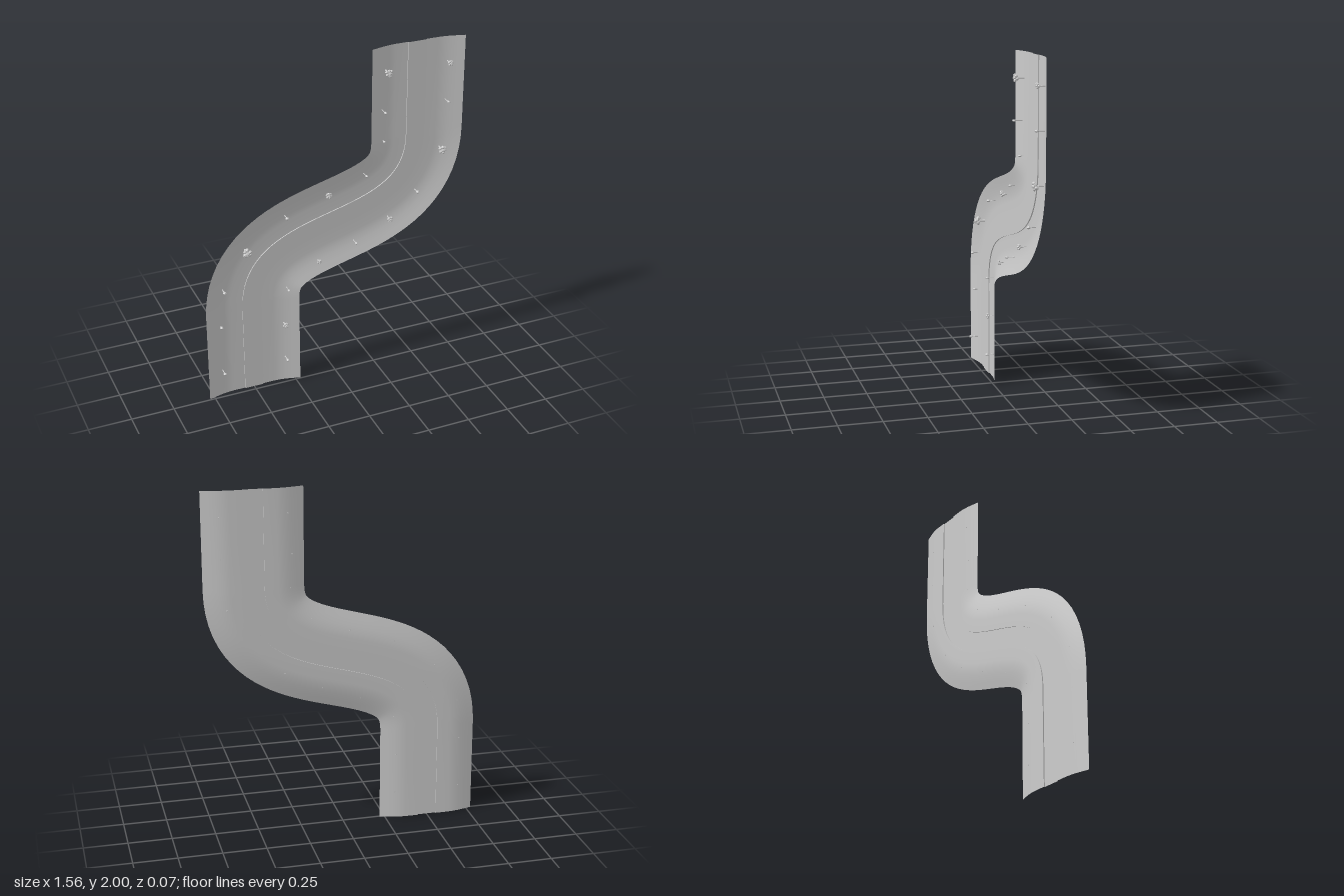
import * as THREE from 'three';

const grey = new THREE.MeshStandardMaterial({ color: 0xcccccc, side: THREE.DoubleSide });
const rock = new THREE.MeshStandardMaterial({ color: 0xcccccc, flatShading: true });

// Centre line: straight, S-bend, straight
const bend = new THREE.CubicBezierCurve(
  new THREE.Vector2(-0.5, 0.55), new THREE.Vector2(-0.5, 1.18),
  new THREE.Vector2(0.5, 0.82), new THREE.Vector2(0.5, 1.45));
const stations = [{ p: new THREE.Vector2(-0.5, 0), t: new THREE.Vector2(0, 1) }];
for (let i = 0; i <= 40; i++) stations.push({ p: bend.getPoint(i / 40), t: bend.getTangent(i / 40) });
stations.push({ p: new THREE.Vector2(0.5, 2), t: new THREE.Vector2(0, 1) });

// Cross-section as [offset from centre line, z]
const bank = [[0.055, -0.036], [0.13, -0.036], [0.165, -0.033], [0.2, -0.027], [0.24, -0.017], [0.28, -0.006]];
const mirror = (pts) => pts.map(([u, z]) => [-u, z]).reverse();
const kerb = [[0.055, -0.03], [0.055, -0.036]];
const road = [[-0.055, -0.03], [0.055, -0.03]];

// Sweep a cross-section along the stations
function sweep(name, section) {
  const pos = [], index = [], n = section.length;
  stations.forEach(({ p, t }, i) => {
    section.forEach(([u, z], j) => {
      pos.push(p.x + t.y * u, p.y - t.x * u, z);
      if (i && j) {
        const d = i * n + j, c = d - 1, b = d - n, a = b - 1;
        index.push(a, b, d, a, d, c);
      }
    });
  });
  const g = new THREE.BufferGeometry();
  g.setAttribute('position', new THREE.Float32BufferAttribute(pos, 3));
  g.setIndex(index);
  g.computeVertexNormals();
  const m = new THREE.Mesh(g, grey);
  m.name = name;
  return m;
}

// Height of the bank under a point
function groundZ(x, y) {
  const q = new THREE.Vector2(x, y);
  let u = Math.min(...stations.map((s) => s.p.distanceTo(q)));
  if (y < 0.55) u = Math.abs(x + 0.5);
  if (y > 1.45) u = Math.abs(x - 0.5);
  for (let i = 1; i < bank.length; i++) {
    const [u0, z0] = bank[i - 1], [u1, z1] = bank[i];
    if (u <= u1) return THREE.MathUtils.lerp(z0, z1, Math.max(0, (u - u0) / (u1 - u0)));
  }
  return -0.006;
}

// Stem standing out of the bank
function stem(x, y, tip, r) {
  const base = groundZ(x, y) - 0.002;
  const m = new THREE.Mesh(new THREE.CylinderGeometry(r * 0.7, r, tip - base, 5), rock);
  m.rotation.x = Math.PI / 2;
  m.position.set(x, y, (tip + base) / 2);
  m.name = 'stem';
  return m;
}

// Clumpy bush: stem with a ring of leaf clumps and one on top
function bush([x, y, r, tip]) {
  const g = new THREE.Group();
  g.name = 'bush';
  const c = r * 0.45, mid = Math.max(tip - r * 0.75, groundZ(x, y) + 0.006);
  g.add(stem(x, y, mid, r * 0.2));
  for (let i = 0; i < 7; i++) {
    const a = i * Math.PI / 3 + x * 9, d = i < 6 ? r * 0.6 : 0;
    const m = new THREE.Mesh(new THREE.IcosahedronGeometry(c * (i % 2 ? 0.85 : 1), 0), rock);
    m.position.set(x + d * Math.cos(a), y + d * Math.sin(a), i < 6 ? mid + (i % 3 - 1) * c * 0.4 : tip - c);
    m.rotation.set(i, i * 2, 0);
    m.name = 'leafClump';
    g.add(m);
  }
  return g;
}

// Small sapling: thin stem with a pointed crown
function sapling([x, y, r, tip]) {
  const g = new THREE.Group();
  g.name = 'sapling';
  const len = Math.min(0.022, tip - groundZ(x, y));
  g.add(stem(x, y, tip - len / 2, r * 0.3));
  const crown = new THREE.Mesh(new THREE.OctahedronGeometry(1, 1), rock);
  crown.scale.set(r, r * 0.8, len / 2);
  crown.position.set(x, y, tip - len / 2);
  crown.name = 'crown';
  g.add(crown);
  return g;
}

export function createModel() {
  const model = new THREE.Group();
  model.name = 'curvedRoadSection';
  model.add(
    sweep('road', road),
    sweep('rightKerb', kerb), sweep('leftKerb', mirror(kerb)),
    sweep('rightBank', bank), sweep('leftBank', mirror(bank)));

  // Plants as [x, y, radius, tip z]
  [[0.31, 1.86, 0.024, 0.037], [0.685, 1.855, 0.018, 0.025], [0.655, 1.335, 0.026, 0.034],
    [-0.53, 0.925, 0.028, 0.033], [-0.035, 1.175, 0.02, 0.012], [0.34, 0.95, 0.018, 0.02],
    [-0.31, 0.395, 0.018, 0.022], [-0.095, 0.765, 0.015, 0.01]].forEach((b) => model.add(bush(b)));
  [[0.29, 1.63, 0.009, 0.033], [0.68, 1.625, 0.009, 0.025], [0.3, 1.44, 0.008, 0.002],
    [0.185, 1.26, 0.008, 0.025], [-0.29, 1.09, 0.011, 0.02], [0.51, 1.09, 0.011, 0.015],
    [0.125, 0.845, 0.008, 0.025], [-0.29, 0.63, 0.008, 0.028], [-0.67, 0.7, 0.011, 0.02],
    [-0.69, 0.465, 0.01, 0.002], [-0.69, 0.165, 0.01, 0.027], [-0.305, 0.16, 0.01, 0.027]]
    .forEach((s) => model.add(sapling(s)));
  return model;
}
